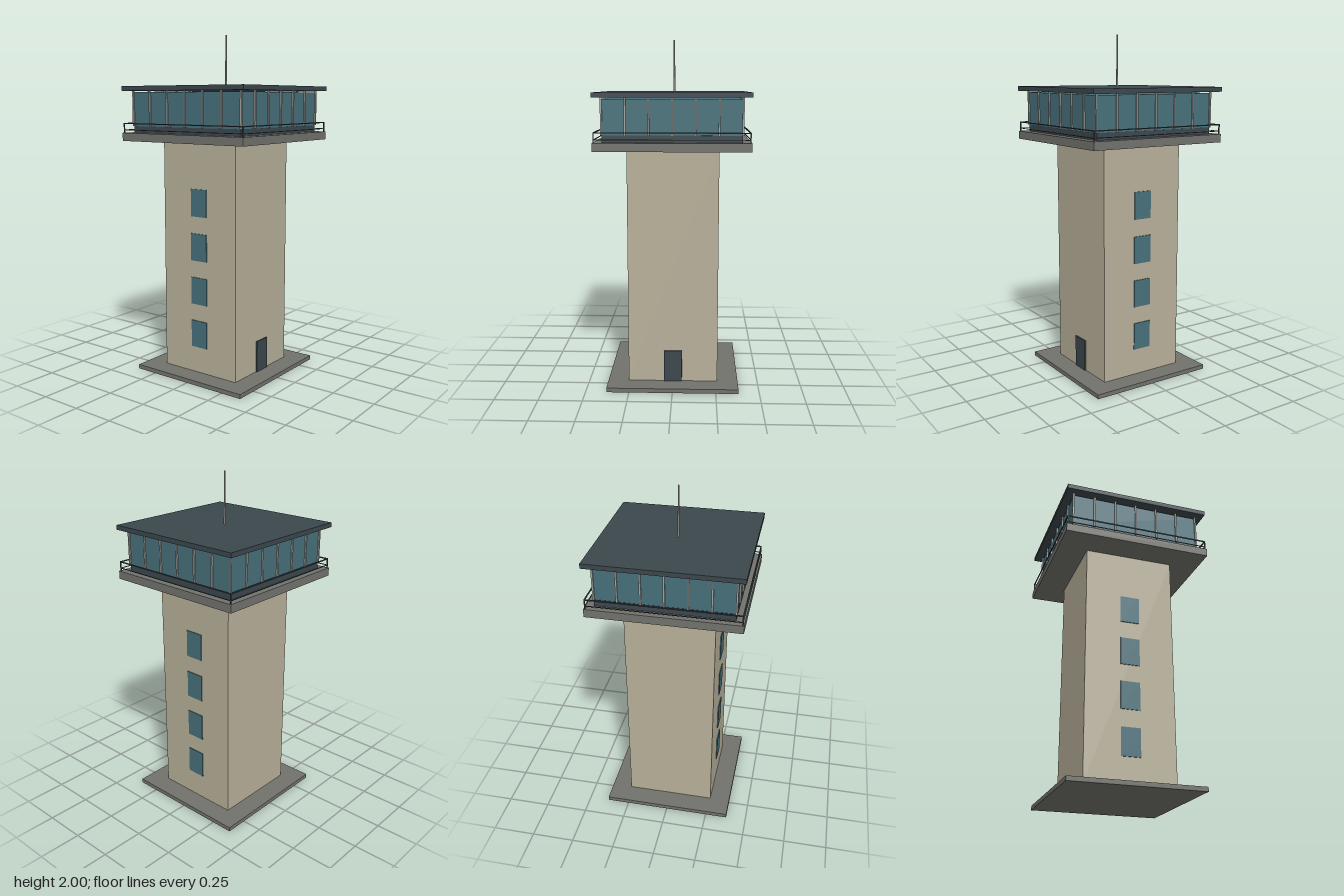
import * as THREE from 'three';

const mat = (name, color) => Object.assign(new THREE.MeshStandardMaterial({ color }), { name });

export function createModel() {
  const tower = new THREE.Group();
  tower.name = 'controlTower';
  const wall = mat('beige wall', 0xb8b09a);
  const concrete = mat('grey concrete', 0x72726d);
  const dark = mat('dark slate', 0x3c474d);
  const glass = mat('teal glass', 0x47707b);
  const metal = mat('light metal', 0xa5a5a0);

  // Box standing on height y0 and reaching y1
  function block(parent, name, material, w, d, y0, y1, x = 0, z = 0) {
    const mesh = new THREE.Mesh(new THREE.BoxGeometry(w, y1 - y0, d), material);
    mesh.position.set(x, (y0 + y1) / 2, z);
    mesh.name = name;
    parent.add(mesh);
    return mesh;
  }

  // Stacked main volumes
  block(tower, 'basePlinth', concrete, 0.76, 0.76, 0, 0.025);
  block(tower, 'shaft', wall, 0.52, 0.52, 0.025, 1.39);
  block(tower, 'deck', concrete, 0.86, 0.86, 1.39, 1.437);
  block(tower, 'cabSill', dark, 0.764, 0.764, 1.437, 1.475);
  block(tower, 'cabGlass', glass, 0.76, 0.76, 1.475, 1.67);
  block(tower, 'roof', dark, 0.86, 0.86, 1.678, 1.705);

  // Entrance door
  block(tower, 'door', dark, 0.104, 0.009, 0.025, 0.212, 0, 0.2645);

  // Column of windows on both sides of the shaft
  for (const side of [-1, 1]) {
    for (let i = 0; i < 4; i++) {
      const y = 0.18 + i * 0.26;
      block(tower, 'shaftWindow', glass, 0.008, 0.112, y, y + 0.16, side * 0.261, 0);
    }
  }

  // Mullions and guard rail, repeated on the four sides
  for (let s = 0; s < 4; s++) {
    const face = new THREE.Group();
    face.name = 'cabSide';
    face.rotation.y = s * Math.PI / 2;
    for (let i = 0; i < 6; i++) {
      block(face, 'mullion', metal, 0.01, 0.01, 1.475, 1.678, -0.383 + i * 0.1277, 0.383);
    }
    block(face, 'topRail', dark, 0.85, 0.006, 1.488, 1.494, 0, 0.422);
    block(face, 'lowerRail', dark, 0.85, 0.004, 1.452, 1.456, 0, 0.422);
    block(face, 'railPost', dark, 0.006, 0.006, 1.437, 1.494, 0.422, 0.422);
    tower.add(face);
  }

  // Roof antenna
  const antenna = new THREE.Mesh(new THREE.CylinderGeometry(0.004, 0.006, 0.295, 8), metal);
  antenna.position.y = 1.8525;
  antenna.name = 'antenna';
  tower.add(antenna);

  return tower;
}
